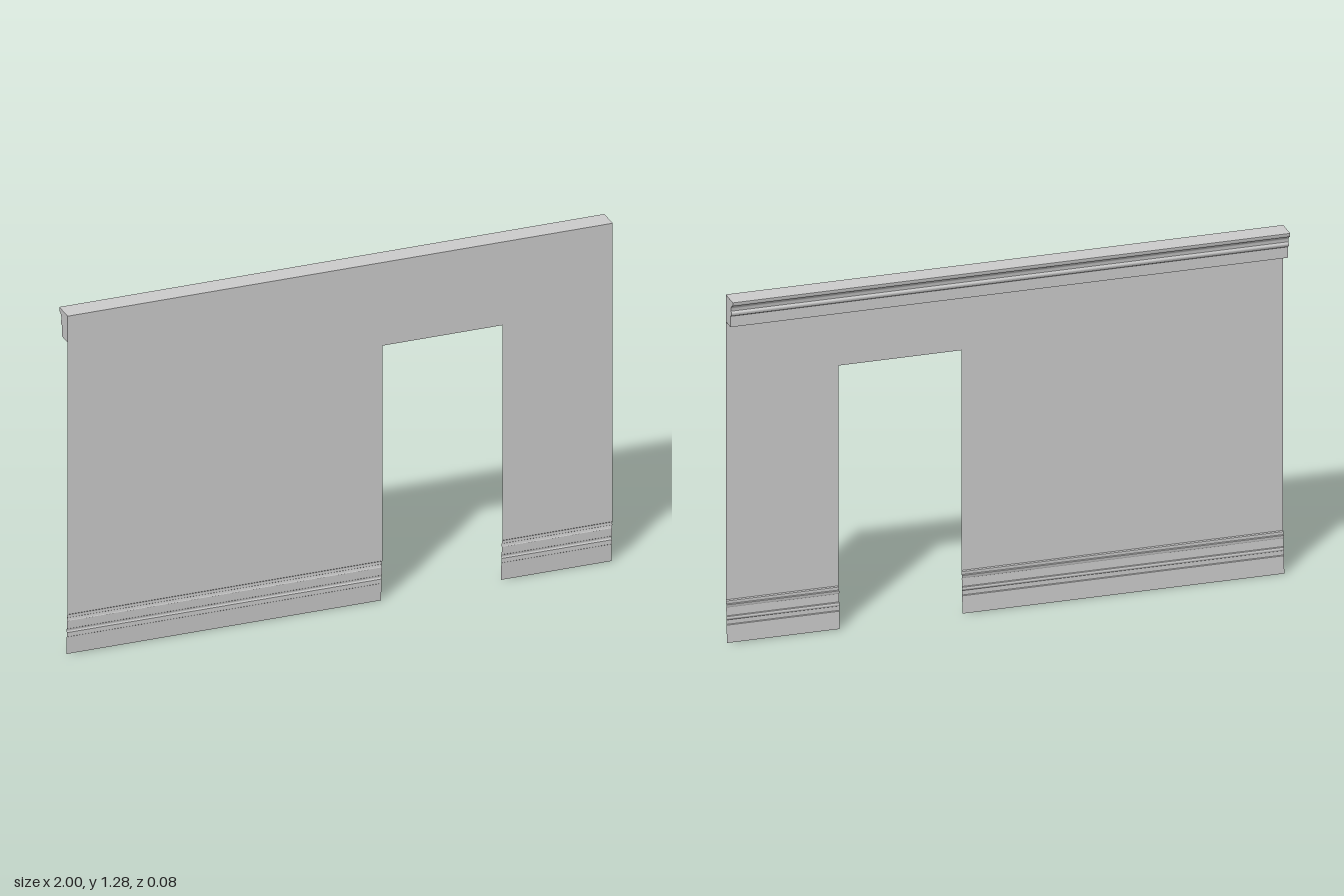
import * as THREE from 'three';
import { toCreasedNormals } from 'three/addons/utils/BufferGeometryUtils.js';

const DOOR = { left: 0.155, right: 0.595, top: 0.97 };
const WALL_Z = 0.039;
const SKIRT_TOP = 0.155;
const CORNICE = { bottom: 1.185, top: 1.285 };

// Skirting cross-section as [height, depth behind the wall plane]
const SKIRT_PROFILE = [
  [0, 0.012], [0.065, 0.010], [0.067, 0.007], [0.083, 0.007],
  [0.086, 0.010], [0.091, 0.011], [0.096, 0.009], [0.098, 0.006],
  [0.128, 0.005], [0.131, 0.007], [0.139, 0.007], [0.141, 0.004],
  [0.146, 0.005], [0.152, 0.004], [SKIRT_TOP, 0],
];

// Sweep the skirting section along x as an open sheet facing +z
function skirtingGeometry(x0, x1) {
  const positions = [], index = [];
  SKIRT_PROFILE.forEach(([y, depth], i) => {
    positions.push(x0, y, WALL_Z - depth, x1, y, WALL_Z - depth);
    if (i > 0) {
      const a = 2 * (i - 1);
      index.push(a, a + 1, a + 3, a, a + 3, a + 2);
    }
  });
  const g = new THREE.BufferGeometry();
  g.setAttribute('position', new THREE.Float32BufferAttribute(positions, 3));
  g.setIndex(index);
  g.computeVertexNormals();
  return toCreasedNormals(g, 0.6);
}

// Moulded cornice, flush at the front and projecting at the back
function corniceGeometry() {
  const s = new THREE.Shape();
  s.moveTo(-WALL_Z, CORNICE.bottom);
  s.lineTo(0.014, CORNICE.bottom);
  s.lineTo(0.014, 1.225);
  s.lineTo(0.017, 1.228);
  s.bezierCurveTo(0.026, 1.23, 0.026, 1.243, 0.019, 1.246);
  s.lineTo(0.019, 1.25);
  s.quadraticCurveTo(0.021, 1.268, 0.034, 1.27);
  s.quadraticCurveTo(0.039, 1.272, 0.039, 1.277);
  s.lineTo(0.039, CORNICE.top);
  s.lineTo(-WALL_Z, CORNICE.top);
  s.closePath();
  const g = new THREE.ExtrudeGeometry(s, { depth: 2, bevelEnabled: false, curveSegments: 6 });
  g.rotateY(Math.PI / 2);
  g.translate(-1, 0, 0);
  return toCreasedNormals(g, 0.6);
}

// Flat wall sheet with the doorway notched out of its lower edge
function wallGeometry() {
  const s = new THREE.Shape([
    [-1, SKIRT_TOP], [DOOR.left, SKIRT_TOP], [DOOR.left, DOOR.top],
    [DOOR.right, DOOR.top], [DOOR.right, SKIRT_TOP], [1, SKIRT_TOP],
    [1, CORNICE.bottom], [-1, CORNICE.bottom],
  ].map(([x, y]) => new THREE.Vector2(x, y)));
  return new THREE.ShapeGeometry(s).translate(0, 0, WALL_Z);
}

export function createModel() {
  const group = new THREE.Group();
  group.name = 'doorwayWall';
  const plaster = new THREE.MeshStandardMaterial({ color: 0xcccccc, side: THREE.DoubleSide });
  plaster.name = 'plaster grey';

  const add = (name, geometry) => {
    const mesh = new THREE.Mesh(geometry, plaster);
    mesh.name = name;
    group.add(mesh);
  };

  add('wall', wallGeometry());
  add('cornice', corniceGeometry());
  add('skirtingWide', skirtingGeometry(-1, DOOR.left));
  add('skirtingNarrow', skirtingGeometry(DOOR.right, 1));
  return group;
}
